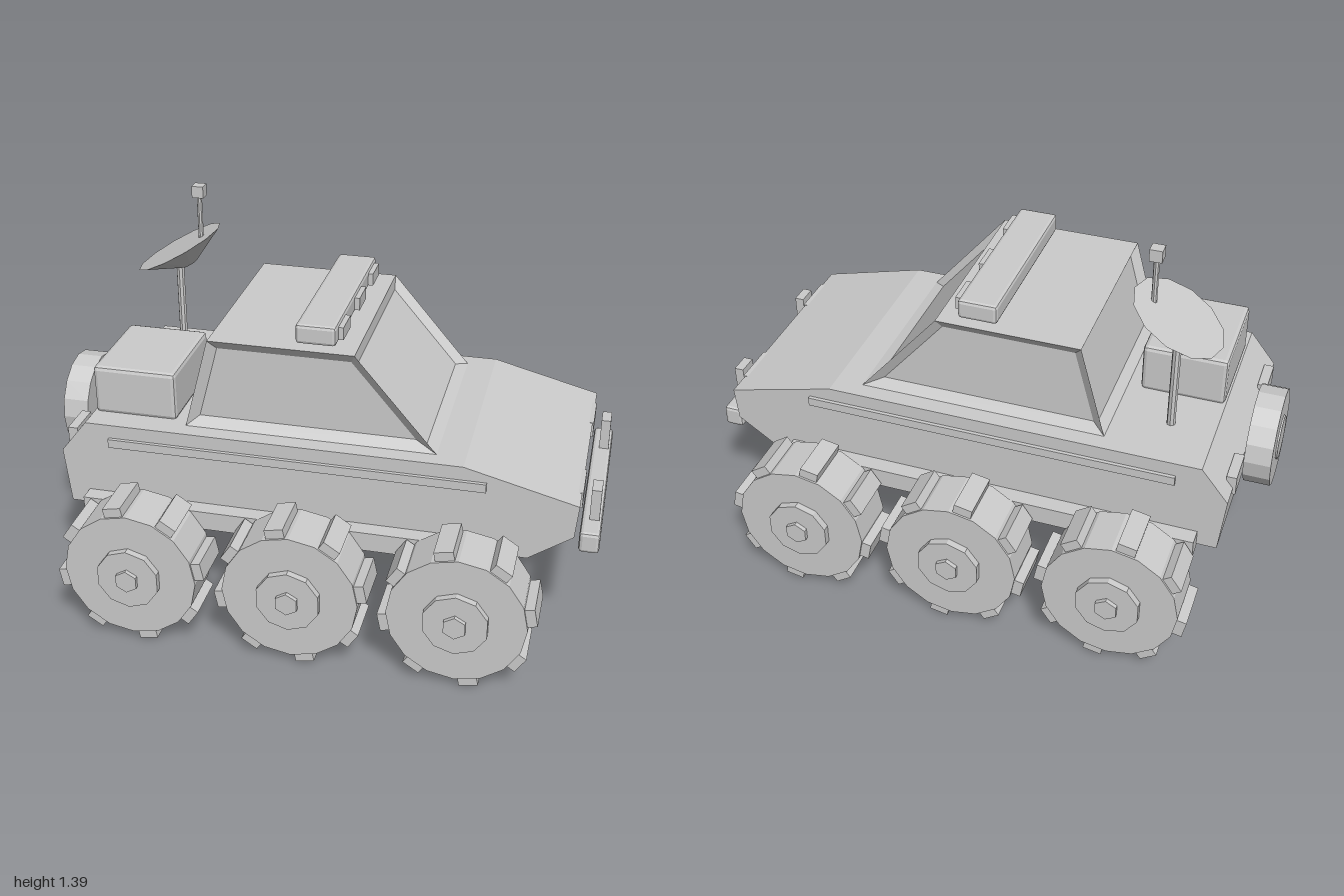
import * as THREE from 'three';
import { RoundedBoxGeometry } from 'three/addons/geometries/RoundedBoxGeometry.js';

const paint = new THREE.MeshStandardMaterial({ color: 0xcccccc, flatShading: true });
paint.name = 'light grey';

function add(parent, name, geometry, x = 0, y = 0, z = 0) {
  const mesh = new THREE.Mesh(geometry, paint);
  mesh.name = name;
  mesh.position.set(x, y, z);
  parent.add(mesh);
  return mesh;
}

// Box given by its limits on each axis, optionally chamfered
function box(parent, name, [x0, x1], [y0, y1], [z0, z1], chamfer = 0) {
  const size = [x1 - x0, y1 - y0, z1 - z0];
  const geometry = chamfer
    ? new RoundedBoxGeometry(...size, 1, chamfer)
    : new THREE.BoxGeometry(...size);
  return add(parent, name, geometry, (x0 + x1) / 2, (y0 + y1) / 2, (z0 + z1) / 2);
}

const disc = (radius, depth, sides) =>
  new THREE.CylinderGeometry(radius, radius, depth, sides).rotateX(Math.PI / 2);

// Side profile extruded across the width
function hullGeometry() {
  const profile = [
    [-0.875, 0.385], [0.765, 0.385], [0.915, 0.49], [0.925, 0.61],
    [0.535, 0.71], [-0.8, 0.71], [-0.895, 0.59],
  ].map(([x, y]) => new THREE.Vector2(x, y));
  const geometry = new THREE.ExtrudeGeometry(new THREE.Shape(profile), { depth: 0.834, bevelEnabled: false });
  return geometry.translate(0, 0, -0.417);
}

// Tapered cabin whose four sides have recessed windows
function cabinGeometry() {
  const corner = (x, y, z) => new THREE.Vector3(x, y, z);
  const w = 0.355;
  const base = [corner(-0.45, 0.71, w), corner(0.435, 0.71, w), corner(0.435, 0.71, -w), corner(-0.45, 0.71, -w)];
  const roof = [corner(-0.36, 1.045, w), corner(0.15, 1.045, w), corner(0.15, 1.045, -w), corner(-0.36, 1.045, -w)];
  const positions = [];
  const quad = (a, b, c, d) => [a, b, c, a, c, d].forEach((p) => positions.push(p.x, p.y, p.z));

  const inset = 0.035, depth = 0.025;
  for (let i = 0; i < 4; i++) {
    const j = (i + 1) % 4;
    const outer = [base[i], base[j], roof[j], roof[i]];
    const normal = outer[1].clone().sub(outer[0]).cross(outer[3].clone().sub(outer[0])).normalize();
    const inner = outer.map((p, k) => {
      const u = outer[(k + 1) % 4].clone().sub(p).normalize();
      const v = outer[(k + 3) % 4].clone().sub(p).normalize();
      const reach = inset / Math.sin(u.angleTo(v));
      return p.clone().addScaledVector(u.add(v), reach).addScaledVector(normal, -depth);
    });
    quad(...inner);
    for (let k = 0; k < 4; k++) {
      const n = (k + 1) % 4;
      quad(outer[k], outer[n], inner[n], inner[k]);
    }
  }
  quad(...roof);
  quad(base[3], base[2], base[1], base[0]);

  const geometry = new THREE.BufferGeometry();
  geometry.setAttribute('position', new THREE.Float32BufferAttribute(positions, 3));
  geometry.computeVertexNormals();
  return geometry;
}

// Wheel with eight tread lugs; side is +1 or -1 along z
function createWheel(side) {
  const wheel = new THREE.Group();
  wheel.name = 'wheel';
  add(wheel, 'tyre', disc(0.237, 0.19, 16));
  add(wheel, 'hubcap', disc(0.113, 0.03, 10), 0, 0, side * 0.105);
  add(wheel, 'hubNut', disc(0.042, 0.03, 6), 0, 0, side * 0.12);
  for (let i = 0; i < 8; i++) {
    const angle = (i + 0.25) * Math.PI / 4;
    const lug = add(wheel, 'treadLug', new THREE.BoxGeometry(0.05, 0.066, 0.176),
      Math.cos(angle) * 0.241, Math.sin(angle) * 0.241, 0);
    lug.rotation.z = angle;
  }
  return wheel;
}

export function createModel() {
  const rover = new THREE.Group();
  rover.name = 'rover';

  add(rover, 'hull', hullGeometry());
  add(rover, 'cabin', cabinGeometry());

  // Running gear and side trim
  for (const side of [1, -1]) {
    const span = (a, b) => (side > 0 ? [a, b] : [-b, -a]);
    box(rover, 'sideBeam', [-0.805, 0.7], [0.37, 0.44], span(0.41, 0.476));
    box(rover, 'sideTrim', [-0.715, 0.615], [0.628, 0.66], span(0.41, 0.43));
    for (const x of [-0.572, -0.003, 0.566]) {
      box(rover, 'axleStrut', [x - 0.035, x + 0.035], [0.27, 0.38], span(0.425, 0.48));
      const wheel = createWheel(side);
      wheel.position.set(x, 0.267, side * 0.571);
      rover.add(wheel);
    }
    // Lamps and bumper guards
    box(rover, 'headlight', [0.9, 0.93], [0.555, 0.613], span(0.17, 0.33));
    box(rover, 'bumperGuard', [0.956, 0.99], [0.47, 0.603], span(0.215, 0.288));
    box(rover, 'tailLight', [-0.905, -0.87], [0.565, 0.635], span(0.205, 0.335));
  }
  box(rover, 'bumper', [0.93, 1], [0.41, 0.487], [-0.381, 0.381], 0.012);

  // Roof light bar
  box(rover, 'lightBar', [-0.06, 0.08], [1.055, 1.125], [-0.328, 0.328], 0.012);
  for (const z of [-0.24, -0.015, 0.235]) {
    box(rover, 'roofLamp', [0.07, 0.098], [1.067, 1.112], [z - 0.053, z + 0.053]);
  }

  // Rear equipment case
  box(rover, 'cargoCase', [-0.795, -0.495], [0.705, 0.885], [-0.05, 0.325], 0.015);

  // Spare wheel on the tail
  const spare = new THREE.Group();
  spare.name = 'spareWheel';
  add(spare, 'spareTyre', disc(0.175, 0.094, 16));
  add(spare, 'spareHub', disc(0.08, 0.02, 12), 0, 0, -0.043);
  spare.rotation.y = Math.PI / 2;
  spare.position.set(-0.947, 0.583, -0.003);
  rover.add(spare);

  // Dish on its mast, with the feed antenna above
  const z = -0.212;
  add(rover, 'dishMast', new THREE.CylinderGeometry(0.015, 0.015, 0.4, 8), -0.645, 0.9, z);
  const dish = add(rover, 'dish', new THREE.CylinderGeometry(0.174, 0.03, 0.075, 12), -0.625, 1.11, z);
  dish.rotation.z = 0.5;
  add(rover, 'antennaRod', new THREE.CylinderGeometry(0.01, 0.01, 0.2, 8), -0.557, 1.25, z);
  add(rover, 'antennaTip', new THREE.BoxGeometry(0.043, 0.043, 0.043), -0.557, 1.367, z);

  return rover;
}
